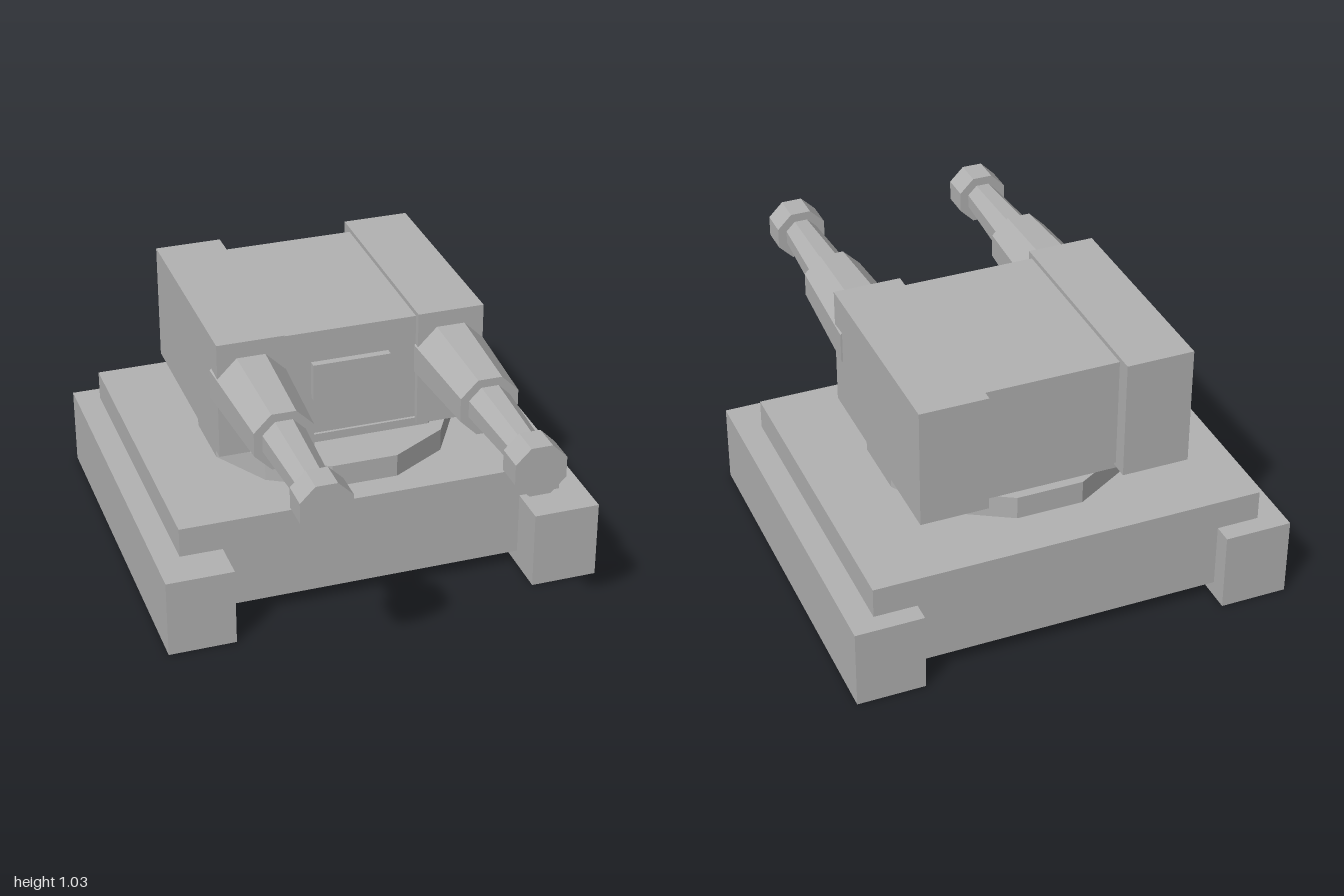
import * as THREE from 'three';

const grey = new THREE.MeshStandardMaterial({ color: 0xb2b2b2 });
grey.name = 'plain grey';

function add(parent, name, geometry) {
  const flat = geometry.index ? geometry.toNonIndexed() : geometry;
  flat.computeVertexNormals();
  const mesh = new THREE.Mesh(flat, grey);
  mesh.name = name;
  parent.add(mesh);
  return mesh;
}

// Box given by its lower and upper limits on each axis
function box(parent, name, [x0, x1], [y0, y1], [z0, z1]) {
  const g = new THREE.BoxGeometry(x1 - x0, y1 - y0, z1 - z0);
  g.translate((x0 + x1) / 2, (y0 + y1) / 2, (z0 + z1) / 2);
  return add(parent, name, g);
}

// Octagonal section along z, flats facing up and sideways; sizes are half widths across flats
function octagon(parent, name, backHalf, frontHalf, z0, z1) {
  const k = 1 / Math.cos(Math.PI / 8);
  const g = new THREE.CylinderGeometry(frontHalf * k, backHalf * k, z1 - z0, 8, 1, false, Math.PI / 8);
  g.rotateX(Math.PI / 2).translate(0, 0, (z0 + z1) / 2);
  return add(parent, name, g);
}

export function createModel() {
  const model = new THREE.Group();
  model.name = 'gunTurret';

  // Base: raised hull between two side skids
  const base = new THREE.Group();
  base.name = 'base';
  model.add(base);
  box(base, 'hull', [-0.6, 0.6], [0.06, 0.31], [-0.925, 0.357]);
  box(base, 'deck', [-0.767, 0.767], [0.31, 0.435], [-0.925, 0.357]);
  box(base, 'leftSkid', [0.6, 0.865], [0, 0.316], [-1, 0.52]);
  box(base, 'rightSkid', [-0.865, -0.6], [0, 0.316], [-1, 0.52]);

  // Twelve-sided turning ring
  const ring = new THREE.CylinderGeometry(0.507, 0.507, 0.092, 12, 1, false, Math.PI / 12);
  ring.translate(0, 0.481, -0.24);
  add(base, 'turningRing', ring);

  // Turret head
  const turret = new THREE.Group();
  turret.name = 'turret';
  model.add(turret);

  // Thin chamfered floor plate under the head
  const outline = [[0.32, 0.08], [0.42, -0.06], [0.42, -0.57], [0.32, -0.71],
    [-0.32, -0.71], [-0.42, -0.57], [-0.42, -0.06], [-0.32, 0.08]];
  const plate = new THREE.Shape(outline.map(([x, z]) => new THREE.Vector2(x, -z)));
  const floor = new THREE.ExtrudeGeometry(plate, { depth: 0.035, bevelEnabled: false });
  floor.rotateX(-Math.PI / 2).translate(0, 0.541, 0);
  add(turret, 'floorPlate', floor);

  box(turret, 'centreBody', [-0.267, 0.267], [0.574, 1.015], [-0.722, 0.068]);
  box(turret, 'frontPanel', [-0.155, 0.155], [0.735, 0.887], [0.06, 0.098]);

  // Side housings, each with a stepped barrel
  for (const [side, s] of [['left', 1], ['right', -1]]) {
    const x = [0.266 * s, 0.531 * s].sort((a, b) => a - b);
    box(turret, side + 'Housing', x, [0.557, 1.033], [-0.785, 0.095]);

    const gun = new THREE.Group();
    gun.name = side + 'Gun';
    gun.position.set(0.398 * s, 0.833, 0);
    turret.add(gun);
    octagon(gun, 'barrelSleeve', 0.14, 0.114, 0.015, 0.505);
    octagon(gun, 'barrel', 0.082, 0.063, 0.5, 0.89);
    octagon(gun, 'muzzle', 0.098, 0.098, 0.885, 1);
  }
  return model;
}
